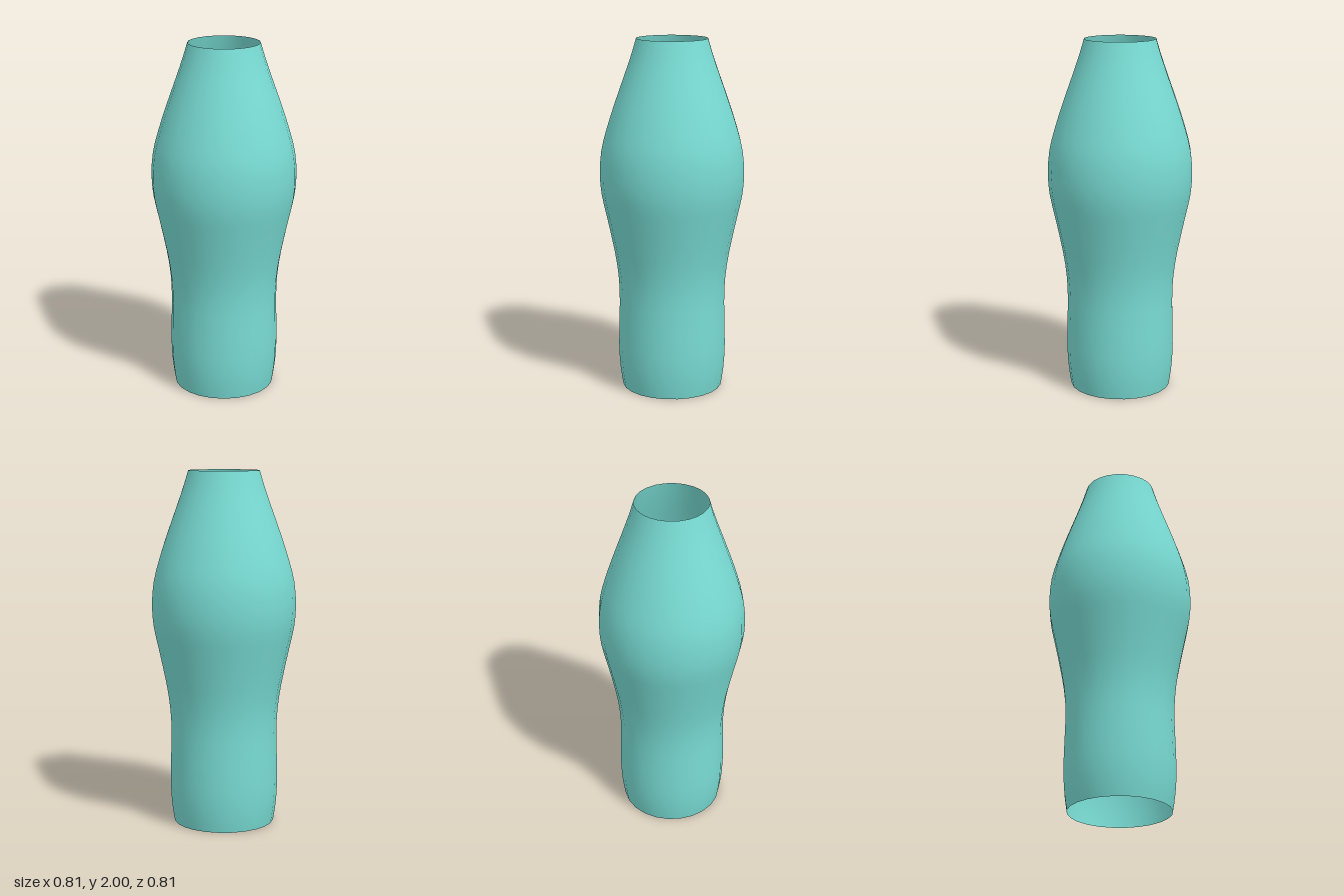
import * as THREE from 'three';

// Open vase: a smooth profile turned around the y axis
export function createModel() {
  const group = new THREE.Group();
  group.name = 'vase';

  // Outline as [radius, height], from the foot to the rim
  const outline = [
    [0.285, 0], [0.300, 0.1], [0.308, 0.25], [0.302, 0.5], [0.307, 0.65],
    [0.328, 0.8], [0.370, 1.0], [0.398, 1.13], [0.407, 1.25], [0.397, 1.38],
    [0.367, 1.5], [0.322, 1.64], [0.265, 1.8], [0.227, 1.91], [0.2, 2],
  ].map(([r, y]) => new THREE.Vector2(r, y));
  const profile = new THREE.SplineCurve(outline).getPoints(28);

  // Thin wall, open at both ends
  const wall = new THREE.Mesh(
    new THREE.LatheGeometry(profile, 24),
    new THREE.MeshStandardMaterial({ color: 0x78dbd3, side: THREE.DoubleSide }),
  );
  wall.name = 'vaseWall';
  group.add(wall);
  return group;
}
